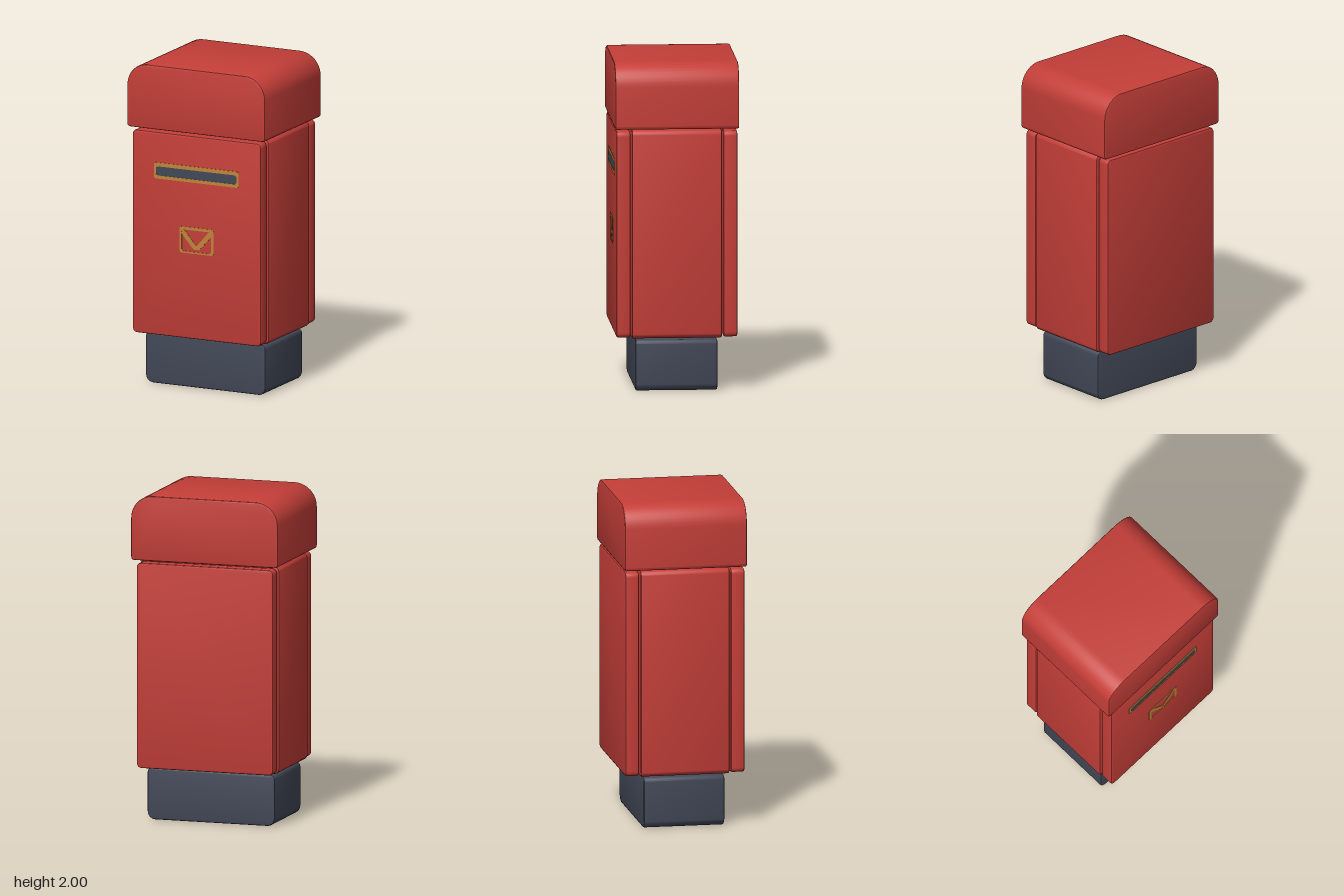
import * as THREE from 'three';
import { toCreasedNormals } from 'three/addons/utils/BufferGeometryUtils.js';

// Rounded rectangle with separate top and bottom corner radii
function roundedRect(x, y0, y1, rTop, rBottom, Type = THREE.Shape) {
  const s = new Type();
  s.moveTo(-x + rBottom, y0);
  s.lineTo(x - rBottom, y0);
  s.absarc(x - rBottom, y0 + rBottom, rBottom, -Math.PI / 2, 0, false);
  s.lineTo(x, y1 - rTop);
  s.absarc(x - rTop, y1 - rTop, rTop, 0, Math.PI / 2, false);
  s.lineTo(-x + rTop, y1);
  s.absarc(-x + rTop, y1 - rTop, rTop, Math.PI / 2, Math.PI, false);
  s.lineTo(-x, y0 + rBottom);
  s.absarc(-x + rBottom, y0 + rBottom, rBottom, Math.PI, Math.PI * 1.5, false);
  return s;
}

// Bevelled block whose outer limits are exactly the given sizes
function block(name, material, { x, y0, y1, z0, z1, rTop, rBottom, bevel }) {
  const shape = roundedRect(x - bevel, y0 + bevel, y1 - bevel, rTop - bevel, rBottom - bevel);
  const g = new THREE.ExtrudeGeometry(shape, {
    depth: z1 - z0 - 2 * bevel, bevelEnabled: true, bevelThickness: bevel,
    bevelSize: bevel, bevelSegments: 2, curveSegments: 5,
  });
  g.translate(0, 0, z0 + bevel);
  const mesh = new THREE.Mesh(toCreasedNormals(g, 0.5), material);
  mesh.name = name;
  return mesh;
}

// Thin plate lying on the front door
function plate(name, material, shape, z, depth = 0.003) {
  const g = new THREE.ExtrudeGeometry(shape, { depth, bevelEnabled: false, curveSegments: 3 });
  g.translate(0, 0, z);
  const mesh = new THREE.Mesh(g, material);
  mesh.name = name;
  return mesh;
}

export function createModel() {
  const red = new THREE.MeshStandardMaterial({ color: 0xc43e38 });
  red.name = 'postRed';
  const navy = new THREE.MeshStandardMaterial({ color: 0x424857 });
  navy.name = 'darkSlate';
  const gold = new THREE.MeshStandardMaterial({ color: 0xc08538 });
  gold.name = 'brass';

  const model = new THREE.Group();
  model.name = 'pillarBox';

  // Foot, body and domed cap
  model.add(
    block('base', navy, { x: 0.405, y0: 0, y1: 0.313, z0: -0.247, z1: 0.247, rTop: 0.025, rBottom: 0.05, bevel: 0.01 }),
    block('body', red, { x: 0.442, y0: 0.325, y1: 1.595, z0: -0.272, z1: 0.272, rTop: 0.035, rBottom: 0.035, bevel: 0.01 }),
    block('cap', red, { x: 0.467, y0: 1.603, y1: 2, z0: -0.374, z1: 0.374, rTop: 0.14, rBottom: 0.02, bevel: 0.01 }),
  );

  // Front and back panels
  const panel = { x: 0.434, y0: 0.331, y1: 1.587, rTop: 0.03, rBottom: 0.03, bevel: 0.01 };
  model.add(
    block('frontPanel', red, { ...panel, z0: 0.281, z1: 0.365 }),
    block('backPanel', red, { ...panel, z0: -0.365, z1: -0.281 }),
  );

  // Letter slot with its brass surround
  const surround = roundedRect(0.285, 1.3, 1.4, 0.012, 0.012);
  surround.holes.push(roundedRect(0.273, 1.32, 1.376, 0.02, 0.02, THREE.Path));
  model.add(
    plate('slotSurround', gold, surround, 0.365),
    plate('slotOpening', navy, roundedRect(0.273, 1.32, 1.376, 0.02, 0.02), 0.365, 0.001),
  );

  // Envelope pictogram: frame and folded flap
  const frame = roundedRect(0.115, 0.86, 1.022, 0.015, 0.015);
  frame.holes.push(roundedRect(0.099, 0.87, 1.004, 0.015, 0.015, THREE.Path));
  const flap = new THREE.Shape([
    [-0.1, 1.0], [-0.1, 0.978], [-0.02, 0.886], [0.02, 0.886],
    [0.1, 0.978], [0.1, 1.0], [0.08, 1.0], [0, 0.908], [-0.08, 1.0],
  ].map(([x, y]) => new THREE.Vector2(x, y)));
  const envelope = new THREE.Group();
  envelope.name = 'envelope';
  envelope.add(
    plate('envelopeFrame', gold, frame, 0.365, 0.002),
    plate('envelopeFlap', gold, flap, 0.365, 0.0015),
  );
  model.add(envelope);

  return model;
}
